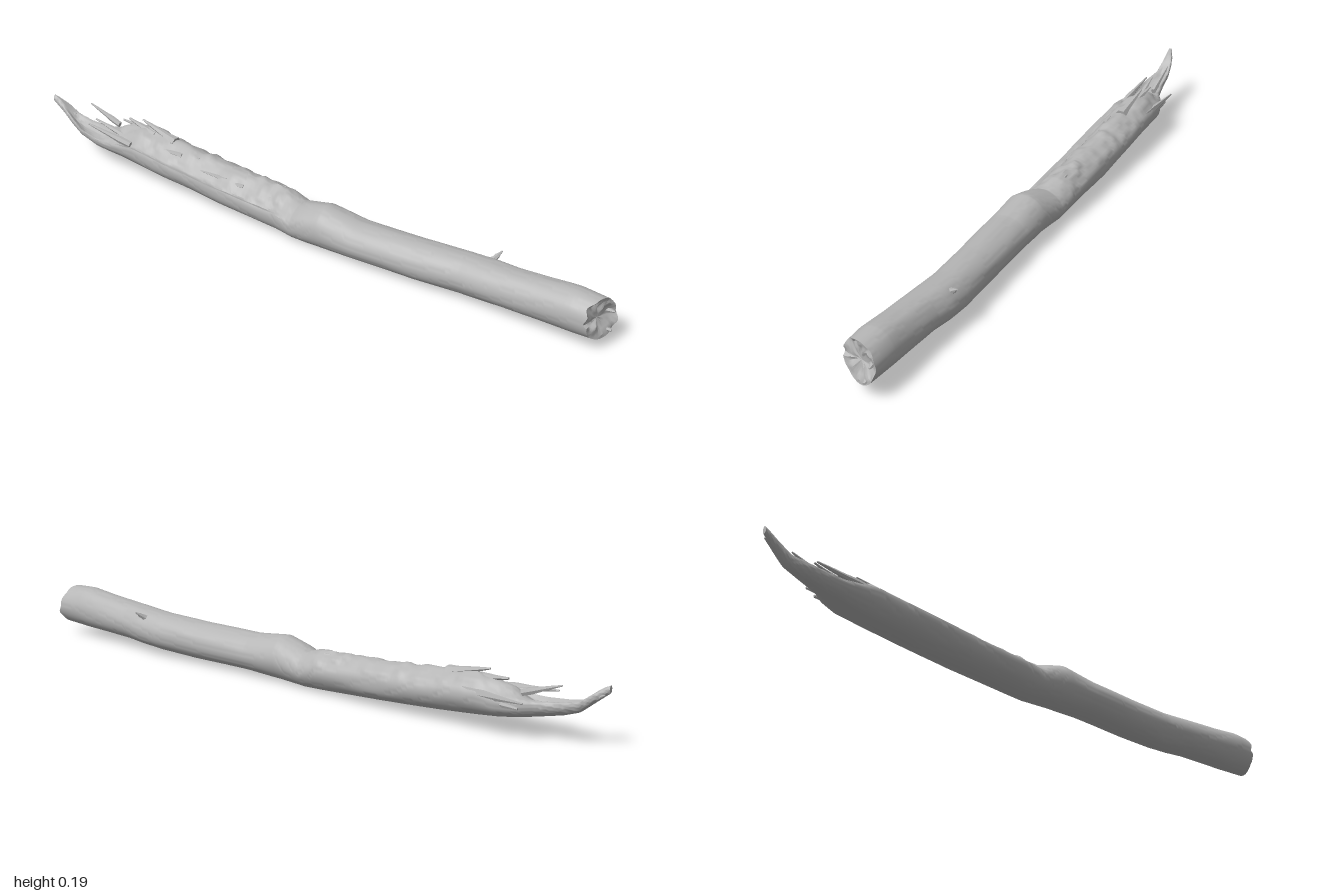
import * as THREE from 'three';
import { toCreasedNormals } from 'three/addons/utils/BufferGeometryUtils.js';

// Log outline stations: x, bottom, top, back z, front z
const STATIONS = [
  [-1.0, 0.168, 0.19, 0.004, 0.018],
  [-0.96, 0.135, 0.172, -0.012, 0.02],
  [-0.92, 0.102, 0.15, -0.018, 0.026],
  [-0.87, 0.083, 0.142, -0.022, 0.042],
  [-0.8, 0.066, 0.14, -0.035, 0.052],
  [-0.76, 0.06, 0.142, -0.06, 0.054],
  [-0.7, 0.052, 0.16, -0.082, 0.056],
  [-0.64, 0.045, 0.175, -0.084, 0.06],
  [-0.5, 0.032, 0.163, -0.081, 0.066],
  [-0.3, 0.017, 0.147, -0.076, 0.069],
  [-0.08, 0.004, 0.138, -0.066, 0.072],
  [-0.02, 0.001, 0.116, -0.06, 0.078],
  [0.03, 0.002, 0.13, -0.056, 0.082],
  [0.08, 0.005, 0.143, -0.053, 0.084],
  [0.2, 0.012, 0.128, -0.051, 0.085],
  [0.4, 0.014, 0.131, -0.056, 0.075],
  [0.55, 0.019, 0.138, -0.06, 0.067],
  [0.63, 0.024, 0.143, -0.058, 0.071],
  [0.7, 0.029, 0.147, -0.048, 0.073],
  [0.8, 0.032, 0.155, -0.045, 0.076],
  [0.9, 0.034, 0.166, -0.042, 0.08],
  [0.975, 0.038, 0.163, -0.037, 0.08],
];
const SIDES = 48;
const ROWS = 260;

const smooth = (a, b, x) => THREE.MathUtils.smoothstep(x, a, b);

function hash(i, j) {
  const s = Math.sin(i * 127.1 + j * 311.7) * 43758.5453;
  return s - Math.floor(s);
}

// Value noise that wraps around the trunk, 0 to 1
function noise(u, v, wrap) {
  const i = Math.floor(u), j = Math.floor(v);
  const f = smooth(0, 1, u - i), g = smooth(0, 1, v - j);
  const h = (a, b) => hash(a, ((b % wrap) + wrap) % wrap);
  return (h(i, j) * (1 - f) + h(i + 1, j) * f) * (1 - g)
    + (h(i, j + 1) * (1 - f) + h(i + 1, j + 1) * f) * g;
}

function stationAt(x) {
  let k = 0;
  while (k < STATIONS.length - 2 && x > STATIONS[k + 1][0]) k++;
  const a = STATIONS[k], b = STATIONS[k + 1];
  const t = THREE.MathUtils.clamp((x - a[0]) / (b[0] - a[0]), 0, 1);
  return a.map((v, n) => v + (b[n] - v) * t);
}

// One point of the trunk surface; shrink below 1 runs inward over an end face
function trunkPoint(x, j, shrink) {
  const [, bottom, top, back, front] = stationAt(x);
  const angle = (j / SIDES) * Math.PI * 2;
  const c = Math.cos(angle), s = Math.sin(angle);
  const turn = j / SIDES;
  const cy = (bottom + top) / 2, cz = (back + front) / 2;
  const grain = noise(x * 7, turn * 12, 12) - 0.5;
  const chips = noise(x * 34, turn * 24, 24);
  const upper = smooth(0.15, 0.7, s);
  const torn = upper * smooth(-0.95, -0.75, x) * (1 - smooth(-0.12, 0.02, x));
  const r = (1 + grain * 0.05 - torn * chips * 0.16) * shrink;
  let y = cy + (top - bottom) / 2 * s * r;
  const z = cz + (front - back) / 2 * c * r;
  // Torn face slopes down to the front, and the thin end is scooped out
  y -= torn * Math.max(0, c + 0.2) * 0.028;
  const scoop = smooth(-0.99, -0.9, x) * (1 - smooth(-0.8, -0.72, x));
  y -= scoop * Math.max(0, s) ** 3 * 0.03 * shrink;
  // Broken right end leans forward at the bottom and back
  const end = smooth(0.9, 0.975, x);
  const lean = -(z - 0.02) * 0.3 - (y - 0.1) * 0.15;
  const rough = (noise(turn * 16 + 40, shrink * 4, 50) - 0.5) * 0.018 * Math.min(1, shrink * 2);
  const hollow = (1 - shrink) * -0.012;
  return [x + end * (lean + rough + hollow), Math.max(0, y), z];
}

function trunkGeometry() {
  const rings = [];
  for (const k of [0.02, 0.6]) rings.push([-1, k]);
  for (let i = 0; i <= ROWS; i++) rings.push([-1 + 1.975 * i / ROWS, 1]);
  for (const k of [0.94, 0.8, 0.6, 0.4, 0.2, 0.01]) rings.push([0.975, k]);
  const pos = [], index = [];
  rings.forEach(([x, k], i) => {
    for (let j = 0; j < SIDES; j++) {
      pos.push(...trunkPoint(x, j, k));
      if (i === rings.length - 1) continue;
      const a = i * SIDES + j, c = i * SIDES + (j + 1) % SIDES;
      index.push(a, a + SIDES, c, a + SIDES, c + SIDES, c);
    }
  });
  const geo = new THREE.BufferGeometry();
  geo.setAttribute('position', new THREE.Float32BufferAttribute(pos, 3));
  geo.setIndex(index);
  return toCreasedNormals(geo, 0.75);
}

// Tapered sliver of wood from a buried root to a sharp tip
function splinterGeometry(root, tip, width, depth) {
  const a = new THREE.Vector3(...root), b = new THREE.Vector3(...tip);
  const dir = b.clone().sub(a);
  const geo = new THREE.CylinderGeometry(0.2, 1, dir.length(), 6, 4);
  const p = geo.attributes.position;
  for (let i = 0; i < p.count; i++) {
    const wob = 0.8 + 0.4 * hash(Math.round(p.getY(i) * 500), 3);
    p.setX(i, p.getX(i) * width * wob);
    p.setZ(i, p.getZ(i) * depth * wob);
  }
  const q = new THREE.Quaternion().setFromUnitVectors(new THREE.Vector3(0, 1, 0), dir.normalize());
  geo.applyQuaternion(q);
  const mid = a.add(b).multiplyScalar(0.5);
  geo.translate(mid.x, mid.y, mid.z);
  return toCreasedNormals(geo, 0.6);
}

export function createModel() {
  const group = new THREE.Group();
  const wood = new THREE.MeshStandardMaterial({ color: 0xb6b6b6 });
  wood.name = 'weathered grey wood';
  const add = (name, geo) => {
    const mesh = new THREE.Mesh(geo, wood);
    mesh.name = name;
    group.add(mesh);
  };

  add('trunk', trunkGeometry());

  // Splinters around the broken end: root, tip, half width, half depth
  const splinters = [
    [[-0.76, 0.135, -0.03], [-0.88, 0.177, -0.03], 0.012, 0.009],
    [[-0.6, 0.12, -0.07], [-0.79, 0.122, -0.082], 0.018, 0.011],
    [[-0.62, 0.11, -0.07], [-0.77, 0.1, -0.07], 0.018, 0.012],
    [[-0.52, 0.15, -0.02], [-0.66, 0.184, -0.03], 0.015, 0.016],
    [[-0.6, 0.15, -0.02], [-0.72, 0.168, -0.035], 0.014, 0.016],
    [[-0.66, 0.12, 0.035], [-0.84, 0.14, 0.03], 0.013, 0.011],
    [[-0.7, 0.12, 0.0], [-0.83, 0.15, 0.005], 0.012, 0.014],
    [[-0.93, 0.13, -0.005], [-0.99, 0.165, -0.002], 0.01, 0.008],
  ];
  splinters.forEach(([r, t, w, d]) => add('splinter', splinterGeometry(r, t, w, d)));

  // Raised strips of bark along the torn face
  for (let i = 0; i < 9; i++) {
    const x = -0.58 + i * 0.062;
    const z = -0.035 + 0.06 * hash(i, 7);
    const [, , top] = stationAt(x);
    const y = top - 0.018 - Math.max(0, z + 0.01) * 0.45;
    add('barkStrip', splinterGeometry([x + 0.05, y - 0.004, z], [x - 0.05, y, z + 0.006], 0.009, 0.008));
  }

  // Broken twig on the back and chips at the sawn end
  add('twigStub', splinterGeometry([0.61, 0.12, -0.035], [0.625, 0.142, -0.064], 0.012, 0.012));
  add('endChip', splinterGeometry([0.94, 0.065, 0.0], [0.998, 0.055, -0.005], 0.02, 0.022));
  add('endChip', splinterGeometry([0.94, 0.11, -0.015], [0.995, 0.105, -0.022], 0.018, 0.018));

  return group;
}
